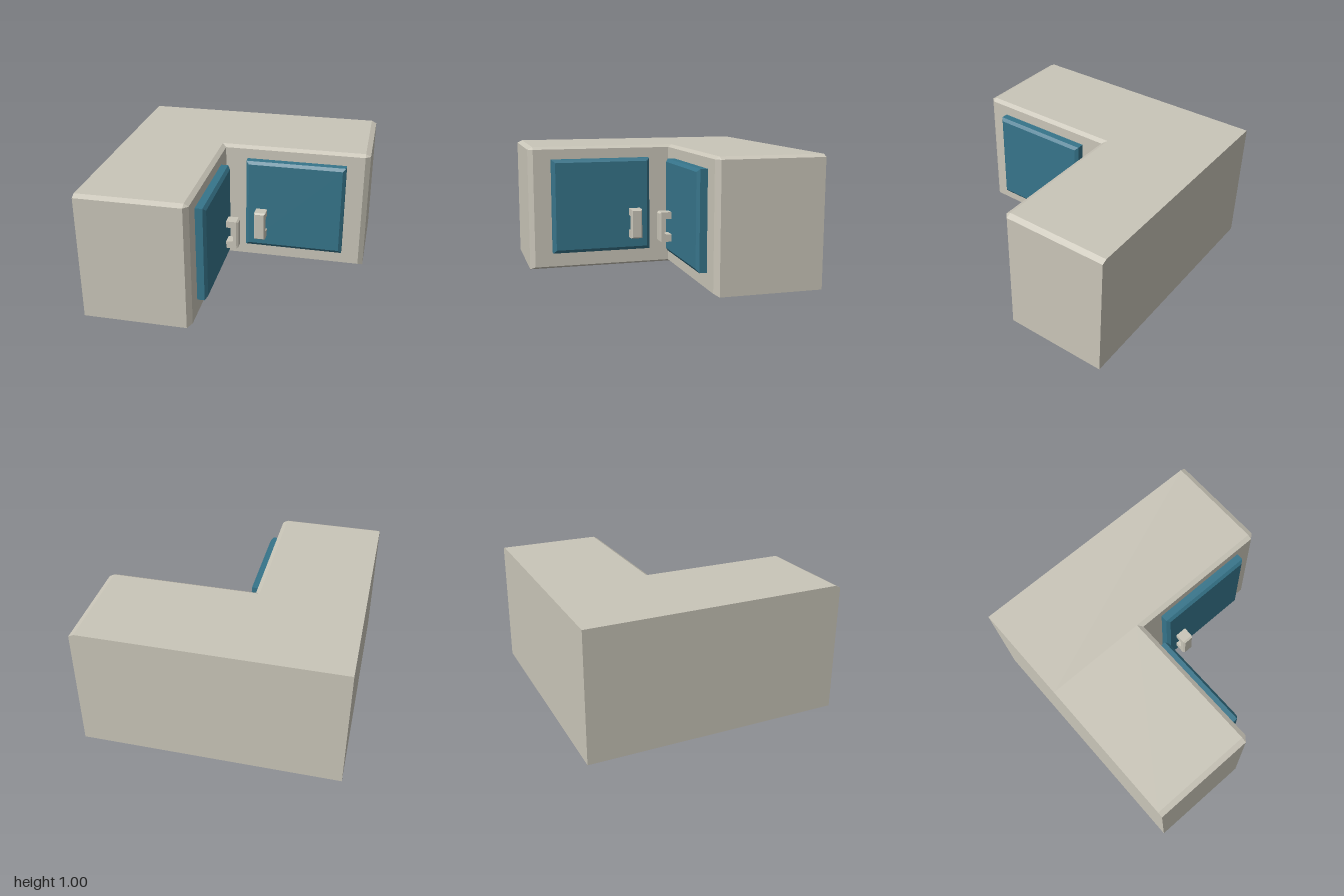
import * as THREE from 'three';

const stone = new THREE.MeshStandardMaterial({ color: 0xc9c5b8 });
stone.name = 'warm grey';
const teal = new THREE.MeshStandardMaterial({ color: 0x36748a });
teal.name = 'teal';

// Flat-sided solid through rings {z, pts}, counter-clockwise seen from +z.
// swap exchanges x and z, for the wing on the other side of the corner.
function loft(rings, swap) {
  const pos = [];
  const tri = (a, b, c) => {
    const area = new THREE.Triangle(a, b, c).getArea();
    if (area < 1e-7) return;
    for (const v of swap ? [a, c, b] : [a, b, c]) {
      pos.push(...(swap ? [v.z, v.y, v.x] : [v.x, v.y, v.z]));
    }
  };
  const R = rings.map(({ z, pts }) => pts.map(([x, y]) => new THREE.Vector3(x, y, z)));
  const n = R[0].length;
  for (let k = 0; k + 1 < R.length; k++) {
    for (let i = 0; i < n; i++) {
      const j = (i + 1) % n;
      tri(R[k][i], R[k][j], R[k + 1][j]);
      tri(R[k][i], R[k + 1][j], R[k + 1][i]);
    }
  }
  const last = R[R.length - 1];
  for (let i = 1; i + 1 < n; i++) {
    tri(R[0][0], R[0][i + 1], R[0][i]);
    tri(last[0], last[i], last[i + 1]);
  }
  const g = new THREE.BufferGeometry();
  g.setAttribute('position', new THREE.Float32BufferAttribute(pos, 3));
  g.computeVertexNormals();
  return g;
}

const rect = (z, x0, x1, y0, y1) => ({ z, pts: [[x0, y0], [x1, y0], [x1, y1], [x0, y1]] });
// Wing outline whose upper outer edge is bevelled
const outline = (z, x0) => ({ z, pts: [[x0, 0], [1, 0], [1, 0.98], [0.96, 1], [x0, 1]] });

function createWing(name, swap) {
  const wing = new THREE.Group();
  wing.name = name;
  const add = (part, material, rings) => {
    const mesh = new THREE.Mesh(loft(rings, swap), material);
    mesh.name = part;
    wing.add(mesh);
  };

  // Carcass; the second wing starts where the first ends
  const start = swap ? -0.2 : -1;
  add('carcass', stone, [outline(-1, start), outline(-0.2, start)]);

  // Bevelled front frame, mitred into the inner corner
  add('frontFrame', stone, [
    outline(-0.2, -0.2),
    { z: -0.165, pts: [[-0.165, 0.02], [0.96, 0.02], [0.96, 0.98], [0.96, 0.98], [-0.165, 0.98]] },
  ]);

  // Door with bevelled edges
  add('door', teal, [
    rect(-0.165, 0.015, 0.82, 0.14, 0.9),
    rect(-0.108, 0.015, 0.82, 0.14, 0.9),
    rect(-0.087, 0.04, 0.795, 0.167, 0.877),
  ]);

  // Handle: grip and two posts that thicken towards it
  add('handleGrip', stone, [
    rect(-0.03, 0.103, 0.195, 0.25, 0.49),
    rect(-0.004, 0.103, 0.195, 0.25, 0.49),
    rect(0.011, 0.113, 0.185, 0.26, 0.48),
  ]);
  add('handleLowerPost', stone, [
    rect(-0.087, 0.103, 0.195, 0.25, 0.31),
    rect(-0.042, 0.103, 0.195, 0.25, 0.31),
    rect(-0.03, 0.103, 0.195, 0.25, 0.32),
  ]);
  add('handleUpperPost', stone, [
    rect(-0.087, 0.103, 0.195, 0.435, 0.49),
    rect(-0.042, 0.103, 0.195, 0.435, 0.49),
    rect(-0.03, 0.103, 0.195, 0.425, 0.49),
  ]);
  return wing;
}

export function createModel() {
  const model = new THREE.Group();
  model.name = 'cornerCabinet';
  model.add(createWing('backWing', false), createWing('sideWing', true));
  return model;
}
